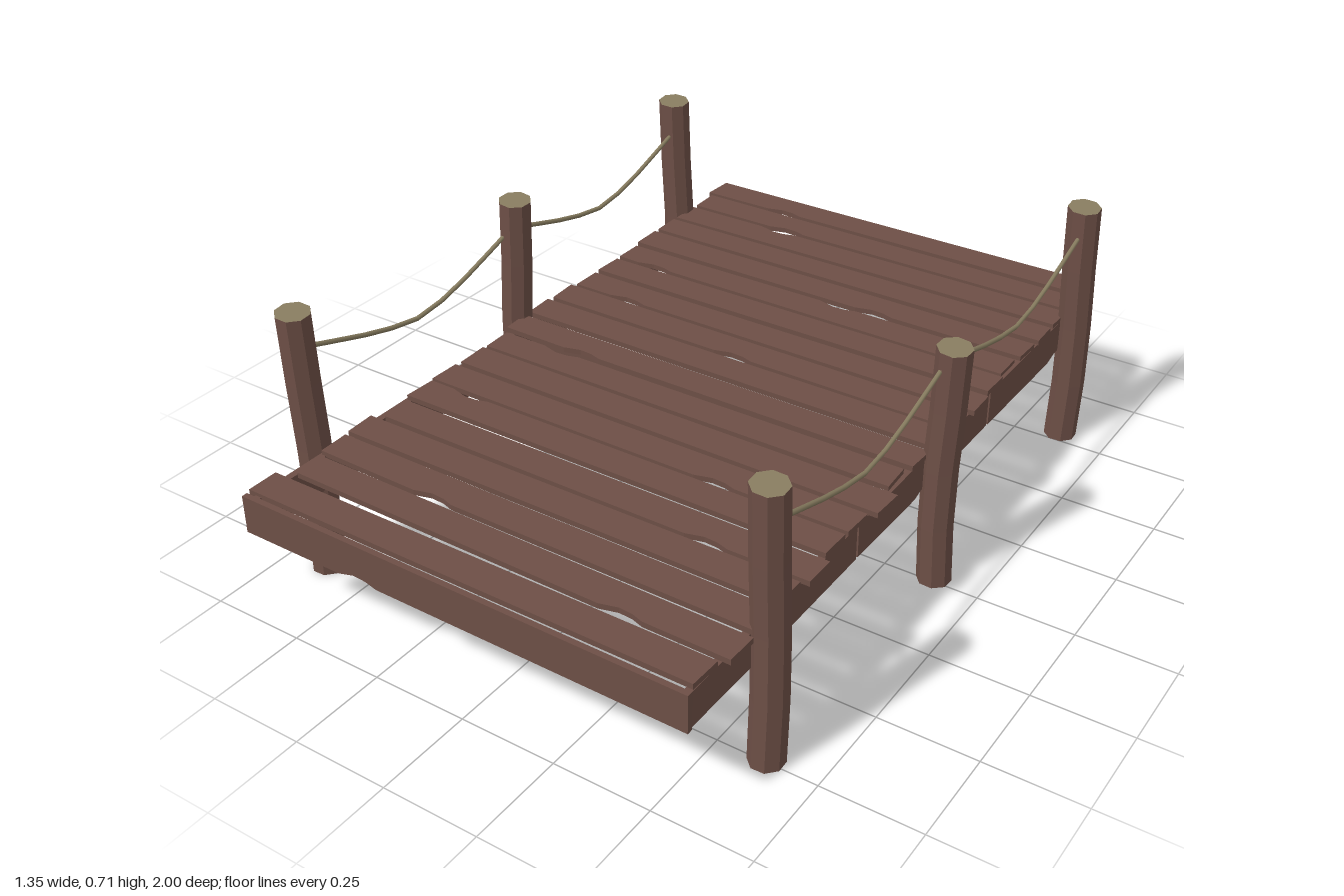
import * as THREE from 'three';

const wood = new THREE.MeshStandardMaterial({ color: 0x6d4f46 });
wood.name = 'brown wood';
const straw = new THREE.MeshStandardMaterial({ color: 0x887d60 });
straw.name = 'olive rope and cut wood';

// Small seeded generator for hand-hewn irregularity, in the range -1..1
let seed = 7;
const jitter = () => {
  seed = (seed * 16807) % 2147483647;
  return (seed / 2147483647) * 2 - 1;
};

const flat = (geometry) => {
  const g = geometry.index ? geometry.toNonIndexed() : geometry;
  g.computeVertexNormals();
  return g;
};

// Rough board lying in xy, thickness along z; chips are nicks in the bottom (-1) or top (1) edge
function boardGeometry(x0, x1, height, thickness, chips = [], rough = 0.003) {
  const h = height / 2;
  const edge = (side) => {
    const points = [[x0 + jitter() * rough, side * (h + jitter() * rough)]];
    for (const [x, s] of chips) {
      if (s !== side) continue;
      points.push([x - 0.06, side * (h + rough * 0.5)], [x - 0.015, side * (h - 0.011)],
        [x + 0.02, side * (h - 0.009)], [x + 0.05, side * h]);
    }
    points.push([x1 + jitter() * rough, side * (h + jitter() * rough)]);
    return points;
  };
  const outline = [...edge(-1), ...edge(1).reverse()].map((p) => new THREE.Vector2(...p));
  const g = new THREE.ExtrudeGeometry(new THREE.Shape(outline), { depth: thickness, bevelEnabled: false });
  return g.translate(0, 0, -thickness / 2);
}

function addMesh(parent, name, geometry, material) {
  const mesh = new THREE.Mesh(geometry, material);
  mesh.name = name;
  parent.add(mesh);
  return mesh;
}

// Bent eight-sided post with pale cut ends
function addPost(parent, name, x, z, height, bend) {
  const g = new THREE.CylinderGeometry(0.043, 0.043, height, 8, 4);
  g.rotateY(Math.PI / 8 + bend * 10).translate(0, height / 2, 0);
  const p = g.attributes.position;
  for (let i = 0; i < p.count; i++) {
    const t = p.getY(i) / height;
    const sway = Math.sin(t * Math.PI * 1.5) * bend;
    p.setX(i, p.getX(i) + sway);
    p.setZ(i, p.getZ(i) - sway * 0.5);
    if (t > 0.99) p.setY(i, p.getY(i) - (p.getX(i) + p.getZ(i)) * 0.06);
  }
  addMesh(parent, name, flat(g), [wood, straw, straw]).position.set(x, 0, z);
}

// Rope sagging between two posts
function addRope(parent, name, x, zA, yA, zB, yB) {
  const drops = [[0, 0], [0.3, 0.068], [0.48, 0.09], [0.66, 0.07], [1, 0]];
  const path = new THREE.CurvePath();
  const points = drops.map(([t, d]) => new THREE.Vector3(
    x, THREE.MathUtils.lerp(yA, yB, t) - d, THREE.MathUtils.lerp(zA, zB, t)));
  const curve = new THREE.CatmullRomCurve3(points);
  addMesh(parent, name, new THREE.TubeGeometry(curve, 8, 0.006, 6, false), straw);
}

export function createModel() {
  const dock = new THREE.Group();
  dock.name = 'dock';

  // Deck planks, back to front: left end, right end, chips as [x, edge]
  const planks = [
    [-0.614, 0.58, [[-0.35, -1]]], [-0.6, 0.58, [[-0.28, -1]]],
    [-0.603, 0.592, [[-0.3, 1]]], [-0.6, 0.592],
    [-0.603, 0.592, [[0.17, -1]]], [-0.594, 0.582, [[-0.47, -1], [0.07, 1]]],
    [-0.594, 0.592], [-0.594, 0.603, [[-0.42, -1]]],
    [-0.6, 0.587, [[-0.02, -1]]], [-0.603, 0.587],
    [-0.6, 0.597, [[-0.35, -1]]], [-0.584, 0.582, [[-0.4, 1]]],
    [-0.584, 0.618], [-0.589, 0.597, [[0.25, -1]]],
    [-0.584, 0.592, [[-0.45, 1]]], [-0.565, 0.613, [[0.36, -1]]],
    [-0.594, 0.597], [-0.589, 0.603, [[-0.24, -1]]],
    [-0.565, 0.613, [[0.35, -1]]], [-0.61, 0.592],
  ];
  const deck = new THREE.Group();
  deck.name = 'deck';
  dock.add(deck);
  planks.forEach(([left, right, chips], i) => {
    const g = boardGeometry(left, right, 0.083, 0.014, chips).rotateX(-Math.PI / 2);
    const plank = addMesh(deck, 'plank', g, wood);
    plank.position.set(0, 0.355 + jitter() * 0.002, -0.957 + i * 0.0994);
    plank.rotation.y = jitter() * 0.004;
  });

  // Frame: three side beams per side, a front fascia and a middle cross beam
  const frame = new THREE.Group();
  frame.name = 'frame';
  dock.add(frame);
  for (const side of [-1, 1]) {
    for (const [z0, z1] of [[-0.985, -0.34], [-0.33, 0.32], [0.33, 0.985]]) {
      const chips = [[-(z0 + z1) / 2 + jitter() * 0.18, -1]];
      const g = boardGeometry(-z1, -z0, 0.093, 0.018, chips).rotateY(Math.PI / 2);
      addMesh(frame, 'sideBeam', g, wood).position.set(side * 0.583, 0.302, 0);
    }
  }
  const fascia = addMesh(frame, 'frontFascia', boardGeometry(-0.61, 0.592, 0.094, 0.015, [[-0.27, -1]]), wood);
  fascia.position.set(0, 0.304, 0.9905);
  fascia.rotation.z = -0.004;
  addMesh(frame, 'crossBeam', boardGeometry(-0.575, 0.575, 0.09, 0.018), wood).position.set(0, 0.302, 0);

  // Posts on each side, back to front: x, z, height, bend
  const sides = [
    ['right', [[-0.634, -0.765, 0.703, 0.006], [-0.624, -0.005, 0.69, -0.007], [-0.634, 0.752, 0.705, 0.004]]],
    ['left', [[0.618, -0.788, 0.682, 0.005], [0.627, -0.014, 0.645, -0.006], [0.62, 0.743, 0.705, 0.004]]],
  ];
  for (const [name, posts] of sides) {
    for (const post of posts) addPost(dock, name + 'Post', ...post);
    const [back, middle, front] = posts.map((p) => p[1]);
    const x = name === 'left' ? 0.618 : -0.632;
    addRope(dock, name + 'BackRope', x, back + 0.03, 0.61, middle - 0.02, 0.602);
    addRope(dock, name + 'FrontRope', x, middle + 0.02, 0.6, front - 0.03, 0.605);
  }
  return dock;
}
